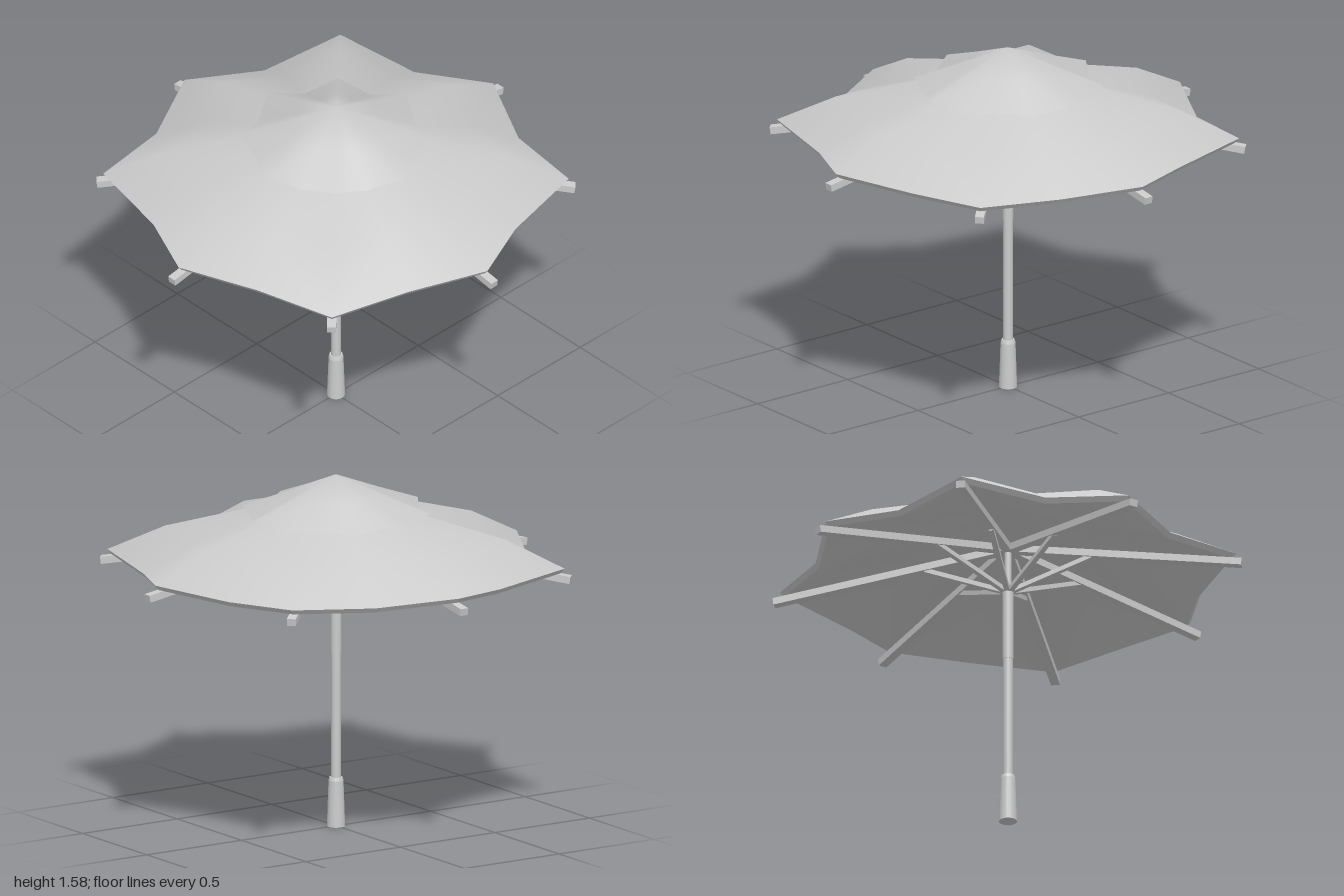
import * as THREE from 'three';

const material = new THREE.MeshStandardMaterial({ color: 0xcccccc, side: THREE.DoubleSide });
const SEGS = 16;
const THICKNESS = 0.022;

function addMesh(parent, name, geometry) {
  const mesh = new THREE.Mesh(geometry, material);
  mesh.name = name;
  parent.add(mesh);
  return mesh;
}

// Column 0, 4, 8, 12 lie on the axes, 2, 6, 10, 14 on the diagonals, odd ones in the valleys
function ringPoint(ring, i) {
  const [r, y] = i % 2 ? ring.valley : i % 4 ? ring.diag : ring.axis;
  const a = (i / SEGS) * Math.PI * 2;
  return [r * Math.sin(a), y, r * Math.cos(a)];
}

// Matching ring on the underside, lower and slightly inset
function underRing({ axis, diag, valley }) {
  const shift = ([r, y]) => [r * 0.981, y - THICKNESS];
  return { axis: shift(axis), diag: shift(diag), valley: shift(valley) };
}

function makeGeometry(positions, index) {
  const geo = new THREE.BufferGeometry();
  geo.setAttribute('position', new THREE.Float32BufferAttribute(positions, 3));
  geo.setIndex(index);
  geo.computeVertexNormals();
  return geo;
}

// Smooth sheet from an apex through scalloped rings
function sheet(apexY, rings, down = false) {
  const pos = [0, apexY, 0];
  const idx = [];
  const tri = (a, b, c) => (down ? idx.push(a, c, b) : idx.push(a, b, c));
  rings.forEach((ring, k) => {
    for (let i = 0; i < SEGS; i++) {
      pos.push(...ringPoint(ring, i));
      const a = 1 + k * SEGS + i;
      const b = 1 + k * SEGS + ((i + 1) % SEGS);
      if (k === 0) tri(0, a, b);
      else if (i % 2) {
        // Mirror the diagonal so both halves of a panel match
        tri(a - SEGS, a, b);
        tri(a - SEGS, b, b - SEGS);
      } else {
        tri(a - SEGS, a, b - SEGS);
        tri(b - SEGS, a, b);
      }
    }
  });
  return makeGeometry(pos, idx);
}

// Thin strip closing the canopy edge
function rim(top, bottom) {
  const pos = [];
  const idx = [];
  for (let i = 0; i < SEGS; i++) {
    const n = pos.length / 3;
    for (const j of [i, (i + 1) % SEGS]) pos.push(...ringPoint(top, j), ...ringPoint(bottom, j));
    idx.push(n, n + 1, n + 3, n, n + 3, n + 2);
  }
  return makeGeometry(pos, idx);
}

// Square bar between two [radius, height] points in the z-y plane
function bar(parent, name, [r0, y0], [r1, y1], width, height) {
  const length = Math.hypot(r1 - r0, y1 - y0);
  const mesh = addMesh(parent, name, new THREE.BoxGeometry(width, height, length));
  mesh.position.set(0, (y0 + y1) / 2, (r0 + r1) / 2);
  mesh.rotation.x = -Math.atan2(y1 - y0, r1 - r0);
}

function cylinder(parent, name, topRadius, bottomRadius, y0, y1) {
  const mesh = addMesh(parent, name, new THREE.CylinderGeometry(topRadius, bottomRadius, y1 - y0, 20));
  mesh.position.y = (y0 + y1) / 2;
}

export function createModel() {
  const model = new THREE.Group();
  model.name = 'parasol';

  // Handle and pole
  cylinder(model, 'handle', 0.033, 0.04, 0, 0.205);
  cylinder(model, 'handleCollar', 0.029, 0.033, 0.205, 0.22);
  cylinder(model, 'lowerPole', 0.0215, 0.0215, 0.2, 0.8);
  cylinder(model, 'upperPole', 0.0245, 0.0235, 0.78, 1.11);
  cylinder(model, 'innerPole', 0.016, 0.016, 1.1, 1.33);

  // Main canopy: top cloth, underside and edge
  const topRings = [
    { axis: [0.2, 1.465], diag: [0.2, 1.465], valley: [0.185, 1.455] },
    { axis: [0.42, 1.403], diag: [0.42, 1.403], valley: [0.38, 1.373] },
    { axis: [0.715, 1.322], diag: [0.76, 1.315], valley: [0.64, 1.29] },
    { axis: [0.955, 1.202], diag: [1.018, 1.198], valley: [0.857, 1.17] },
  ];
  const underRings = topRings.map(underRing);
  const canopy = new THREE.Group();
  canopy.name = 'canopy';
  addMesh(canopy, 'canopyTop', sheet(1.52, topRings));
  addMesh(canopy, 'canopyUnderside', sheet(1.52 - THICKNESS, underRings, true));
  addMesh(canopy, 'canopyEdge', rim(topRings.at(-1), underRings.at(-1)));
  model.add(canopy);

  // Raised vent cap
  const capRings = [
    { axis: [0.215, 1.497], diag: [0.21, 1.497], valley: [0.19, 1.483] },
    { axis: [0.432, 1.42], diag: [0.417, 1.42], valley: [0.373, 1.386] },
  ];
  addMesh(model, 'ventCap', sheet(1.578, capRings));

  // Eight ribs with their struts
  for (let i = 0; i < 8; i++) {
    const arm = new THREE.Group();
    arm.name = 'ribAssembly';
    arm.rotation.y = (i * Math.PI) / 4;
    const reach = i % 2 ? 1.045 : 0.997;
    bar(arm, 'rib', [0.01, 1.31], [reach, 1.15], 0.04, 0.032);
    bar(arm, 'strut', [0.01, 1.108], [0.37, 1.243], 0.024, 0.02);
    model.add(arm);
  }
  return model;
}
